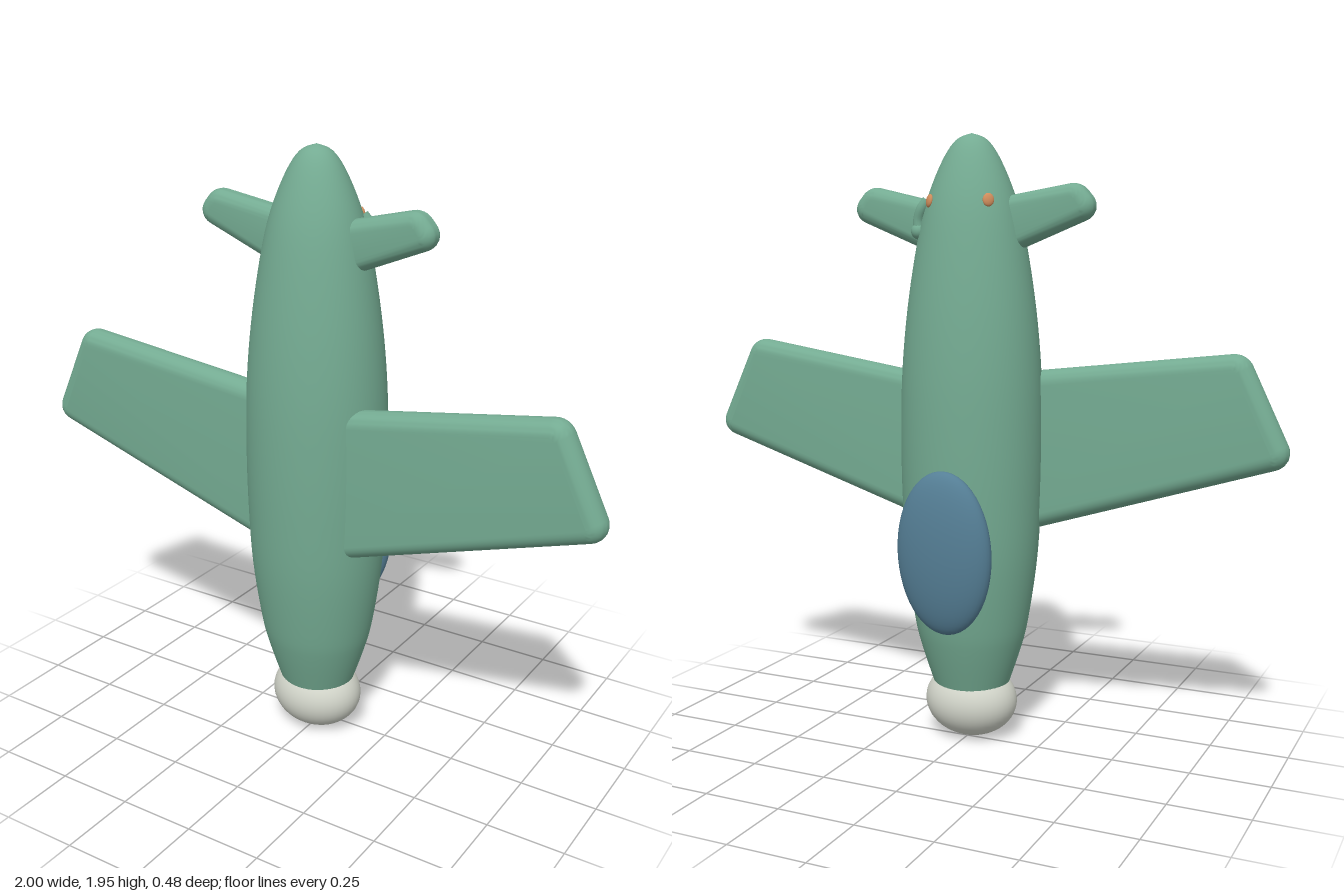
import * as THREE from 'three';
import { toCreasedNormals } from 'three/addons/utils/BufferGeometryUtils.js';

const mat = (name, color) => {
  const m = new THREE.MeshStandardMaterial({ color });
  m.name = name;
  return m;
};

// Slab with fully rounded edges: a core outline swollen by radius r
function roundedSlab(corners, r) {
  const pts = corners.map(([x, y]) => new THREE.Vector2(x, y));
  const shape = new THREE.Shape();
  pts.forEach((p, i) => {
    const prev = pts[(i + pts.length - 1) % pts.length];
    const next = pts[(i + 1) % pts.length];
    const a = p.clone().add(prev.clone().sub(p).setLength(0.012));
    const b = p.clone().add(next.clone().sub(p).setLength(0.012));
    if (i === 0) shape.moveTo(a.x, a.y);
    else shape.lineTo(a.x, a.y);
    shape.quadraticCurveTo(p.x, p.y, b.x, b.y);
  });
  shape.closePath();
  const geo = new THREE.ExtrudeGeometry(shape, {
    depth: 0.004, bevelEnabled: true, bevelThickness: r, bevelSize: r,
    bevelSegments: 8, curveSegments: 6,
  });
  geo.translate(0, 0, -0.002);
  return toCreasedNormals(geo, 0.7);
}

export function createModel() {
  const model = new THREE.Group();
  const green = mat('green paint', 0x74ab92);
  const blue = mat('canopy blue', 0x557f96);
  const white = mat('nose white', 0xd2d5ca);
  const orange = mat('light orange', 0xcf8d5c);

  const add = (name, geo, material, pos = [0, 0, 0]) => {
    const mesh = new THREE.Mesh(geo, material);
    mesh.name = name;
    mesh.position.set(...pos);
    model.add(mesh);
    return mesh;
  };
  const ellipsoid = (name, material, pos, radii) => {
    const mesh = add(name, new THREE.SphereGeometry(1, 40, 28), material, pos);
    mesh.scale.set(...radii);
    return mesh;
  };

  // Fuselage standing on its nose, slightly flattened front to back
  const profile = new THREE.SplineCurve([
    [0.122, 0.17], [0.165, 0.3], [0.189, 0.4], [0.217, 0.6], [0.228, 0.8],
    [0.231, 1.0], [0.226, 1.2], [0.208, 1.4], [0.177, 1.6], [0.144, 1.74],
    [0.095, 1.86], [0.05, 1.925], [0, 1.946],
  ].map(([x, y]) => new THREE.Vector2(x, y))).getPoints(60);
  profile.forEach((p) => { p.x = Math.max(p.x, 0); });
  add('fuselage', new THREE.LatheGeometry(profile, 48), green, [0, 0, 0.031]).scale.z = 0.9;

  // Nose and canopy
  ellipsoid('nose', white, [0, 0.12, 0.031], [0.154, 0.12, 0.13]);
  ellipsoid('canopy', blue, [0, 0.65, -0.174], [0.16, 0.262, 0.063]).rotation.x = -0.04;

  // Wings, tailplanes and tail lights on both sides
  for (const side of [1, -1]) {
    const label = side > 0 ? 'left' : 'right';
    const sided = (pts) => pts.map(([x, y]) => [x * side, y]);
    add(label + 'Wing', roundedSlab(sided([
      [0.05, 0.7], [0.955, 0.985], [0.835, 1.235], [0.05, side > 0 ? 1.113 : 1.145],
    ]), 0.046), green, [0, 0, 0.107]);
    add(label + 'Tailplane', roundedSlab(sided([
      [0.05, 1.585], [0.373, 1.715], [0.345, 1.748], [0.05, side > 0 ? 1.68 : 1.7],
    ]), 0.04), green, [0, 0, 0.036]);
    const light = ellipsoid(label + 'TailLight', orange, [0.1 * side, 1.737, -0.065], [0.018, 0.021, 0.009]);
    light.rotation.set(0.25, 0.7 * -side + Math.PI, 0);
  }

  // Small curved fitting beside the left tailplane
  const hook = new THREE.CatmullRomCurve3([
    [0.152, 1.645, -0.036], [0.152, 1.68, -0.036], [0.138, 1.715, -0.04], [0.12, 1.74, -0.035],
  ].map((p) => new THREE.Vector3(...p)));
  add('tailFitting', new THREE.TubeGeometry(hook, 16, 0.018, 12), green);
  ellipsoid('tailFittingEnd', green, [0.153, 1.645, -0.034], [0.025, 0.026, 0.025]);

  return model;
}
